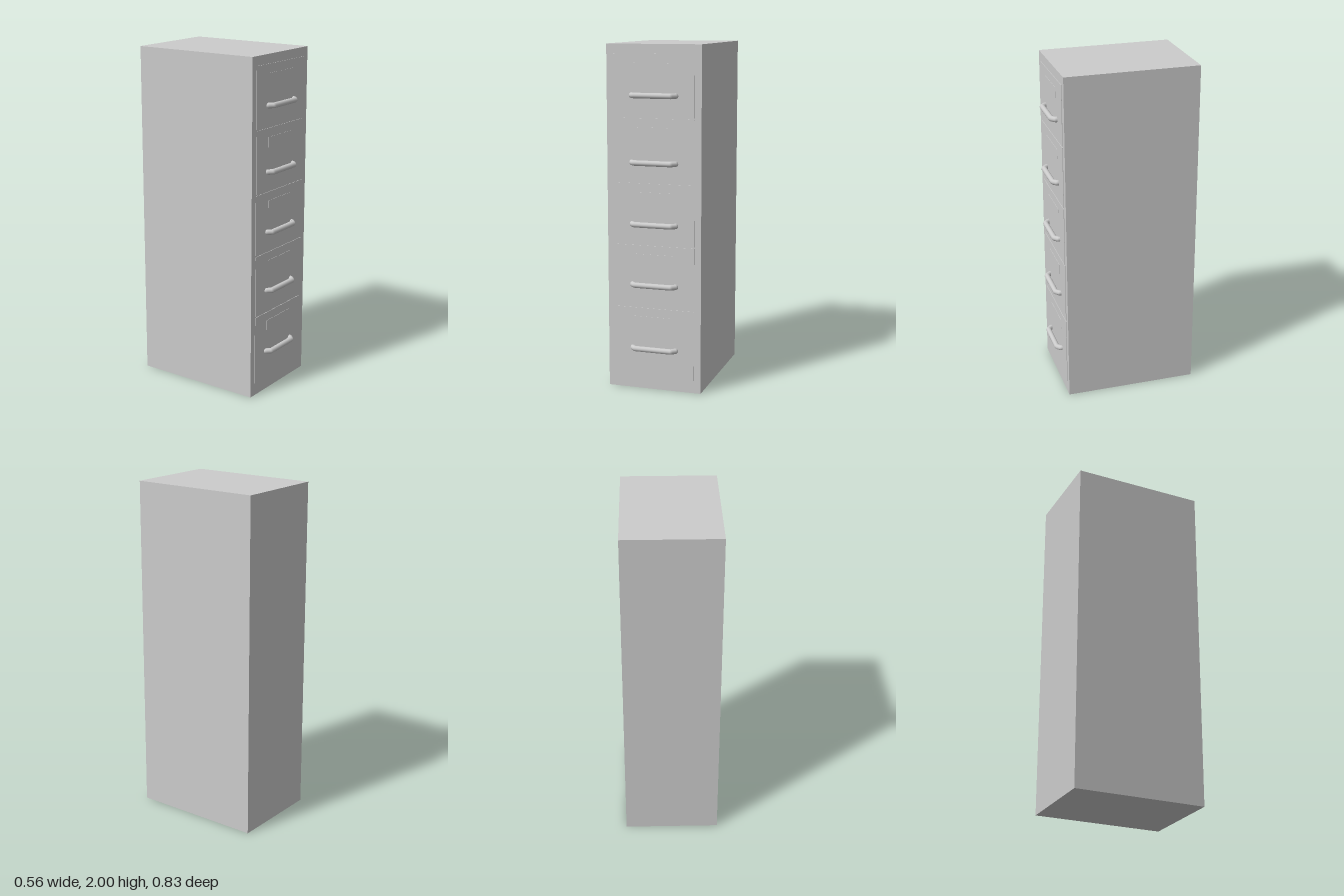
import * as THREE from 'three';

const FRONT = 0.37, BACK = -0.415;

export function createModel() {
  const model = new THREE.Group();
  model.name = 'filingCabinet';
  const material = new THREE.MeshStandardMaterial({ color: 0xcccccc });

  const add = (parent, name, geometry, x, y, z) => {
    const mesh = new THREE.Mesh(geometry, material);
    mesh.name = name;
    mesh.position.set(x, y, z);
    parent.add(mesh);
    return mesh;
  };

  // Cabinet shell
  add(model, 'cabinetBody', new THREE.BoxGeometry(0.56, 2, FRONT - BACK), 0, 1, (FRONT + BACK) / 2);

  // Bent bar handle, with its feet sunk into the drawer front
  const points = [[-0.13, -0.01], [-0.13, 0.008], [-0.108, 0.029], [0.108, 0.029], [0.13, 0.008], [0.13, -0.01]]
    .map(([x, z]) => new THREE.Vector3(x, 0, z));
  const path = new THREE.CurvePath();
  for (let i = 1; i < points.length; i++) path.add(new THREE.LineCurve3(points[i - 1], points[i]));
  const handleGeometry = new THREE.TubeGeometry(path, 64, 0.016, 12);
  const labelGeometry = new THREE.BoxGeometry(0.24, 0.06, 0.006);

  // Five drawers: shallow front panel, label holder and handle
  const edges = [0.07, 0.49, 0.86, 1.22, 1.59, 1.95];
  const handleHeights = [0.245, 0.625, 0.98, 1.335, 1.715];
  handleHeights.forEach((y, i) => {
    const drawer = new THREE.Group();
    drawer.name = `drawer${i + 1}`;
    const bottom = edges[i], top = edges[i + 1];
    add(drawer, 'drawerFront', new THREE.BoxGeometry(0.48, top - bottom - 0.008, 0.006),
      0, (top + bottom) / 2, FRONT);
    add(drawer, 'labelHolder', labelGeometry, 0, top - 0.085, FRONT + 0.002);
    add(drawer, 'handle', handleGeometry, 0, y, FRONT);
    model.add(drawer);
  });

  return model;
}
